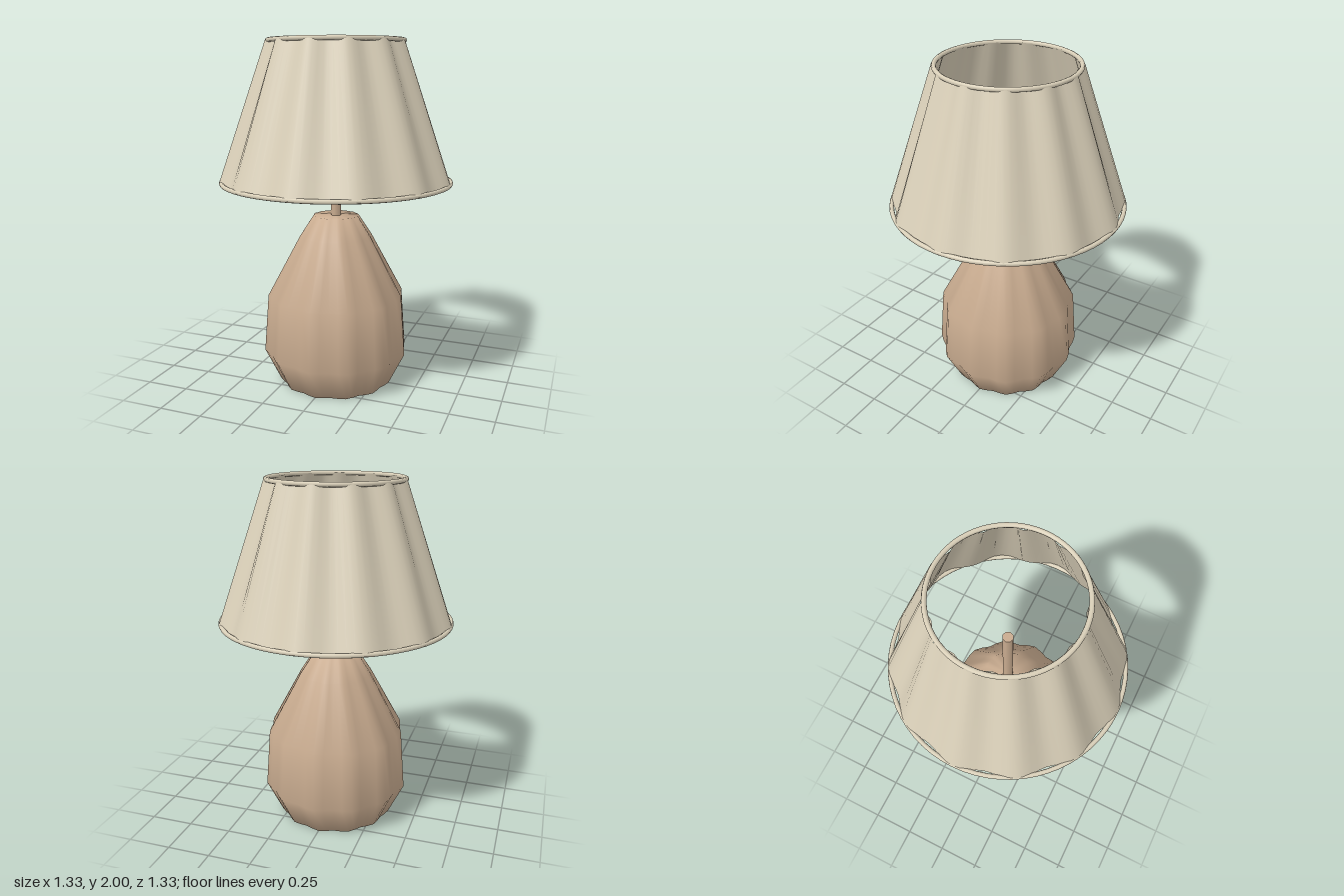
import * as THREE from 'three';
import { mergeVertices } from 'three/addons/utils/BufferGeometryUtils.js';

const LOBES = 12;

// Lathe whose radius dips between evenly spaced lobes, with seamless smooth normals
function flutedLathe(profile, segments, dip) {
  const points = profile.map(([r, y]) => new THREE.Vector2(r, y));
  let geometry = new THREE.LatheGeometry(points, segments);
  const pos = geometry.attributes.position;
  for (let i = 0; i < pos.count; i++) {
    const x = pos.getX(i), z = pos.getZ(i);
    const r = Math.hypot(x, z);
    if (r < 1e-6) continue;
    const wave = (1 - Math.cos(LOBES * Math.atan2(x, z))) / 2;
    const k = (r - dip(r) * wave) / r;
    pos.setX(i, x * k);
    pos.setZ(i, z * k);
  }
  geometry.deleteAttribute('uv');
  geometry.deleteAttribute('normal');
  geometry = mergeVertices(geometry, 1e-5);
  geometry.computeVertexNormals();
  return geometry;
}

export function createModel() {
  const lamp = new THREE.Group();
  lamp.name = 'tableLamp';

  const clay = new THREE.MeshStandardMaterial({ color: 0xc8ab8f });
  clay.name = 'clay';
  const linen = new THREE.MeshStandardMaterial({ color: 0xdad0b9, side: THREE.DoubleSide });
  linen.name = 'linen';

  const add = (name, geometry, material, y = 0) => {
    const mesh = new THREE.Mesh(geometry, material);
    mesh.name = name;
    mesh.position.y = y;
    lamp.add(mesh);
    return mesh;
  };

  // Fluted gourd-shaped base, closed top and bottom
  add('base', flutedLathe(
    [[0, 0], [0.335, 0], [0.428, 0.19], [0.402, 0.53], [0.212, 0.88], [0.133, 1], [0, 1]],
    48, (r) => r * 0.055), clay);

  // Eight-sided stem
  add('stem', new THREE.CylinderGeometry(0.03, 0.03, 0.59, 8), clay, 1.245);

  // Open pleated shade
  add('shade', flutedLathe([[0.667, 1.2], [0.392, 1.988]], 96, () => 0.035), linen);

  // Wire rims hold the shade at both ends
  for (const [name, radius, y] of [['lowerRim', 0.654, 1.203], ['upperRim', 0.378, 1.987]]) {
    add(name, new THREE.TorusGeometry(radius, 0.013, 8, 64), linen, y).rotation.x = Math.PI / 2;
  }

  return lamp;
}
